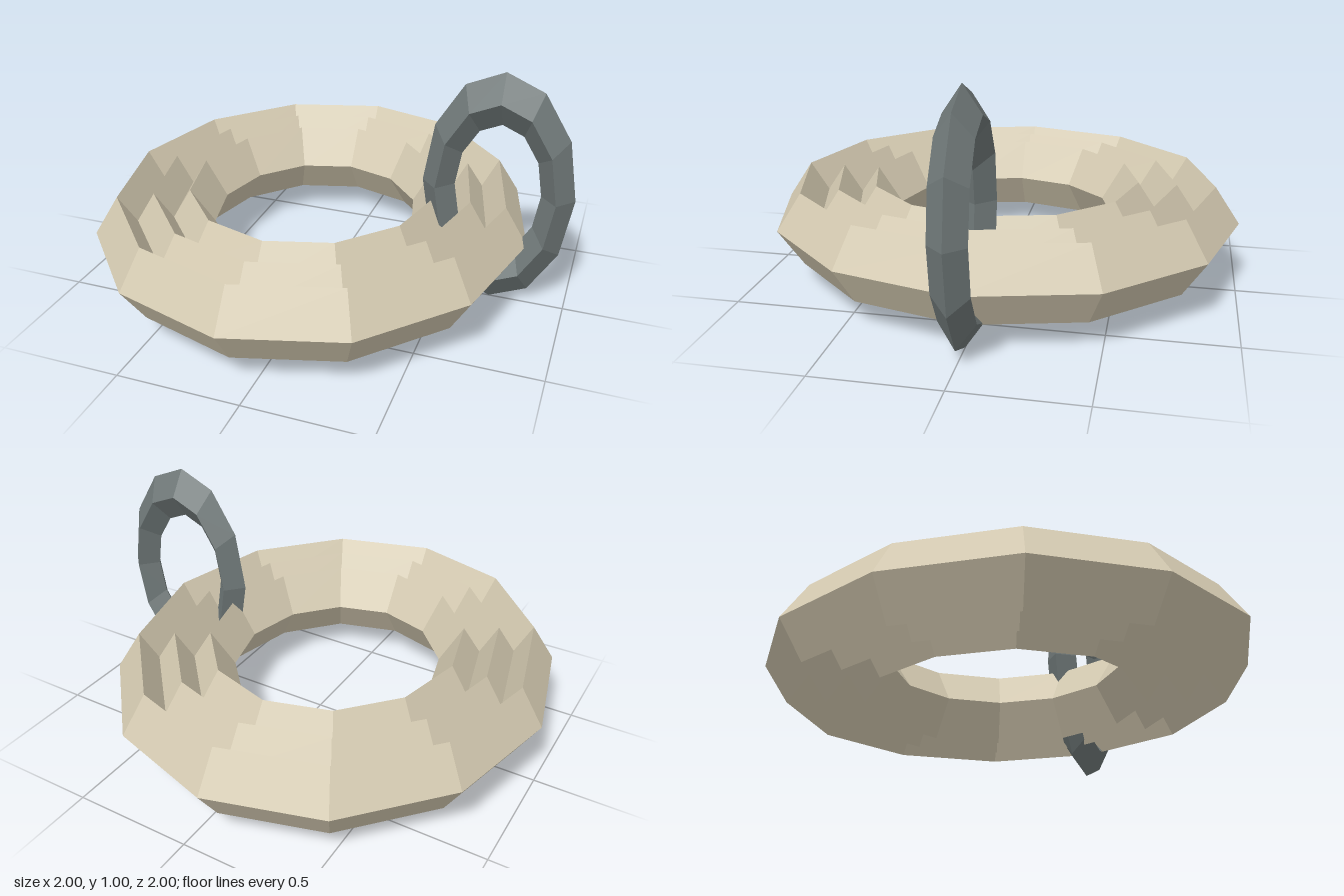
import * as THREE from 'three';

// Twelve-sided ring with a diamond cross-section, squashed to an oval; lies in the xy plane
function diamondRing(name, material, radius, tube, scaleX, halfDepth) {
  const indexed = new THREE.TorusGeometry(radius, tube, 4, 12);
  indexed.scale(scaleX, 1, halfDepth / tube);
  const geometry = indexed.toNonIndexed();
  geometry.computeVertexNormals(); // flat facets
  const mesh = new THREE.Mesh(geometry, material);
  mesh.name = name;
  return mesh;
}

export function createModel() {
  const rope = new THREE.MeshStandardMaterial({ color: 0xd3c9b0, flatShading: true });
  rope.name = 'rope tan';
  const iron = new THREE.MeshStandardMaterial({ color: 0x6f7878, flatShading: true });
  iron.name = 'iron grey';

  const model = new THREE.Group();
  model.name = 'ropeCoilOnRing';

  // Three overlapping concentric coils lying flat
  const coils = new THREE.Group();
  coils.name = 'ropeCoils';
  ['innerCoil', 'middleCoil', 'outerCoil'].forEach((name, i) => {
    coils.add(diamondRing(name, rope, 0.575 + i * 0.16, 0.105, 0.915, 0.156));
  });
  coils.rotation.x = -Math.PI / 2;
  coils.position.set(-0.085, 0.27, 0);
  model.add(coils);

  // Upright oval ring threaded through the coils
  const hangingRing = diamondRing('hangingRing', iron, 0.39, 0.108, 0.617, 0.072);
  hangingRing.position.set(0.692, 0.5, 0);
  model.add(hangingRing);

  return model;
}
